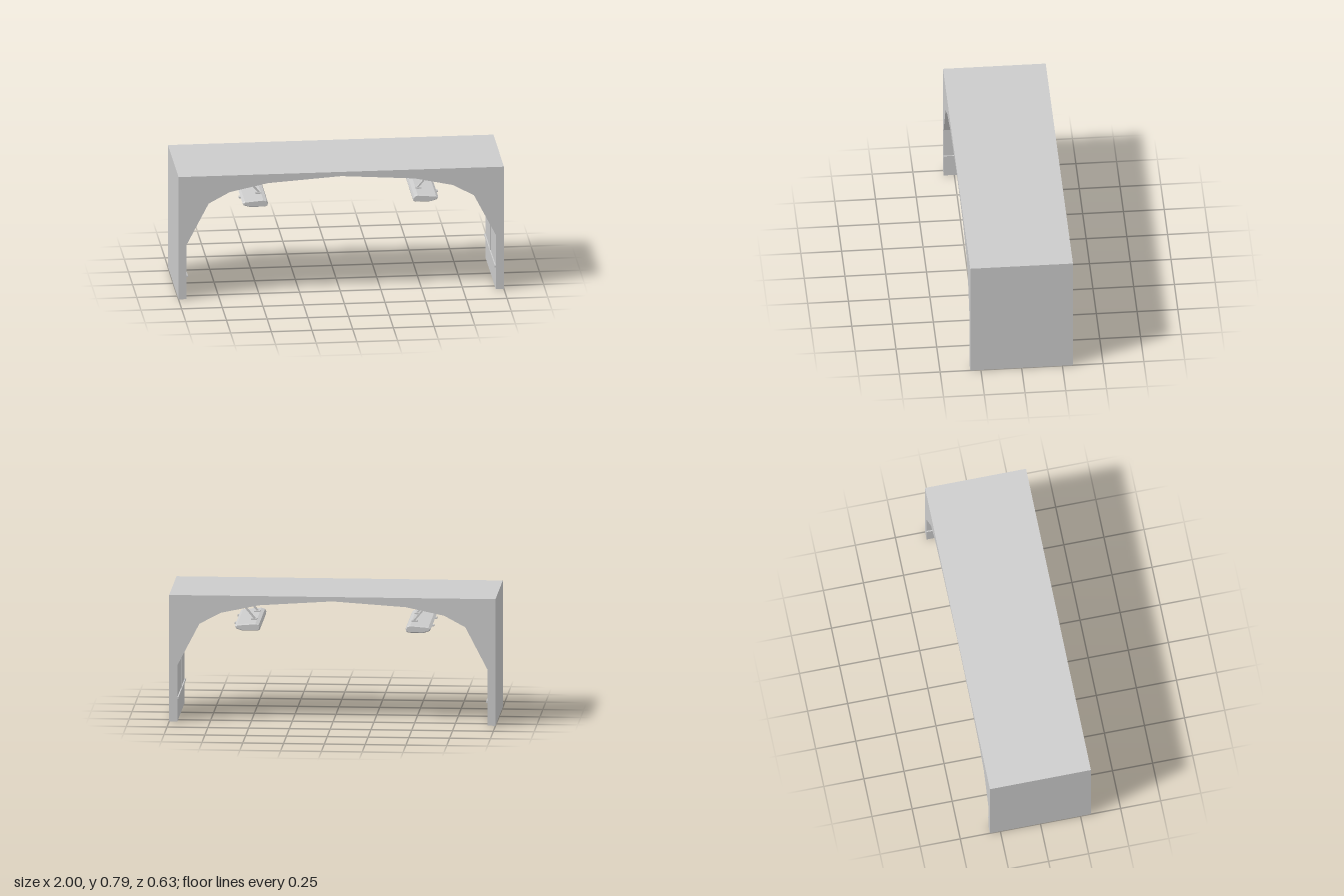
import * as THREE from 'three';

const DEPTH = 0.63, TOP = 0.787;
const V = (x, y) => new THREE.Vector2(x, y);

// Half of the vault profile, from foot to crown
const half = [V(0.95, 0), V(0.95, 0.35), V(0.815, 0.61), V(0.685, 0.68), V(0.45, 0.73), V(0, 0.76)];
const arch = [...half, ...half.slice(0, -1).reverse().map(p => V(-p.x, p.y))];
const outer = [V(-1, 0), V(-1, TOP), V(1, TOP), V(1, 0)];

const flat = new THREE.MeshStandardMaterial({ color: 0xcccccc, flatShading: true });
const shell = new THREE.MeshStandardMaterial({ color: 0xcccccc, flatShading: true, side: THREE.DoubleSide });

function add(parent, name, geometry, x = 0, y = 0, z = 0, material = flat) {
  const mesh = new THREE.Mesh(geometry, material);
  mesh.name = name;
  mesh.position.set(x, y, z);
  parent.add(mesh);
  return mesh;
}

const box = (w, h, d) => new THREE.BoxGeometry(w, h, d);

// Open sheet that sweeps a profile along the depth
function sheet(points) {
  const pos = [], h = DEPTH / 2;
  for (let i = 0; i < points.length - 1; i++) {
    const a = points[i], b = points[i + 1];
    pos.push(a.x, a.y, h, a.x, a.y, -h, b.x, b.y, -h);
    pos.push(a.x, a.y, h, b.x, b.y, -h, b.x, b.y, h);
  }
  const g = new THREE.BufferGeometry();
  g.setAttribute('position', new THREE.Float32BufferAttribute(pos, 3));
  g.computeVertexNormals();
  return g;
}

// Box bar laid between two points in the xy plane
function bar(parent, name, a, b, thick, width, z = 0) {
  const m = add(parent, name, box(a.distanceTo(b), thick, width), (a.x + b.x) / 2, (a.y + b.y) / 2, z);
  m.rotation.z = Math.atan2(b.y - a.y, b.x - a.x);
}

// Long lamp housing with bevelled ends, hung on two angled brackets
function createLamp() {
  const lamp = new THREE.Group();
  lamp.name = 'lamp';
  const section = new THREE.Shape([
    V(0.454, 0.572), V(0.466, 0.567), V(0.555, 0.567), V(0.589, 0.578),
    V(0.594, 0.588), V(0.585, 0.594), V(0.475, 0.603), V(0.457, 0.598), V(0.451, 0.586)
  ]);
  const body = new THREE.ExtrudeGeometry(section, {
    depth: 0.516, bevelEnabled: true, bevelThickness: 0.012, bevelSize: 0.006, bevelSegments: 1
  });
  add(lamp, 'lampHousing', body, 0, 0, -0.258);
  add(lamp, 'lampLens', box(0.075, 0.004, 0.46), 0.51, 0.5605, 0);

  for (const z of [-0.13, 0.13]) {
    add(lamp, 'housingClip', box(0.016, 0.01, 0.03), 0.603, 0.585, z);
    add(lamp, 'bracketFoot', box(0.036, 0.008, 0.04), 0.492, 0.612, z);
    bar(lamp, 'bracketArm', V(0.488, 0.614), V(0.563, 0.704), 0.01, 0.016, z);
    bar(lamp, 'bracketPlate', V(0.535, 0.709), V(0.592, 0.697), 0.007, 0.04, z);
  }
  return lamp;
}

export function createModel() {
  const model = new THREE.Group();
  model.name = 'tunnelSection';

  // Shell, open under the feet
  add(model, 'outerShell', sheet([...outer].reverse()), 0, 0, 0, shell);
  add(model, 'vault', sheet([...arch].reverse()), 0, 0, 0, shell);
  const portal = new THREE.ShapeGeometry(new THREE.Shape([...outer, ...arch]));
  add(model, 'frontPortal', portal, 0, 0, DEPTH / 2, shell);
  add(model, 'backPortal', portal, 0, 0, -DEPTH / 2, shell).rotation.y = Math.PI;

  // Thin cable duct following the vault between the wall rails
  const duct = arch.map(p => p.clone());
  duct[0].y = duct[duct.length - 1].y = 0.15;
  for (let i = 0; i < duct.length - 1; i++) {
    bar(model, 'cableDuct', duct[i], duct[i + 1], 0.008, 0.03);
  }

  // Wall rail and lamp on each side
  for (const turn of [0, Math.PI]) {
    const side = new THREE.Group();
    side.name = turn ? 'rightFittings' : 'leftFittings';
    side.rotation.y = turn;
    add(side, 'wallRail', box(0.014, 0.012, DEPTH), 0.95, 0.147, 0);
    side.add(createLamp());
    model.add(side);
  }
  return model;
}
